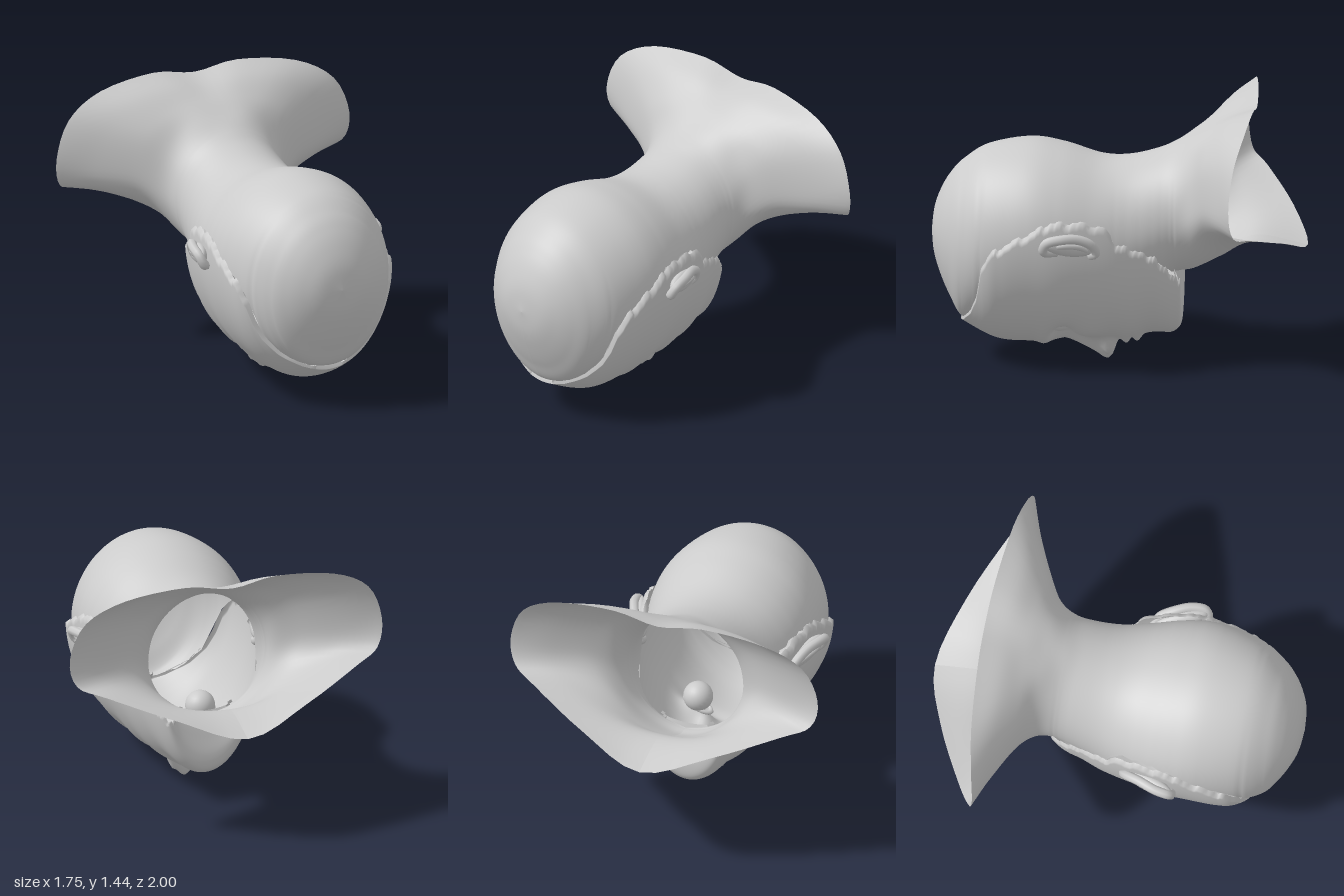
import * as THREE from 'three';

const grey = new THREE.MeshStandardMaterial({ color: 0xcccccc, side: THREE.DoubleSide });

// Piecewise linear lookup through [key, value] pairs with falling keys
function lookup(table, key) {
  for (let i = 1; i < table.length; i++) {
    const [k0, v0] = table[i - 1], [k1, v1] = table[i];
    if (key >= k1) return v0 + (v1 - v0) * THREE.MathUtils.clamp((key - k0) / (k1 - k0), 0, 1);
  }
  return table[table.length - 1][1];
}

// Skin a grid of points, row by row
function skin(rows, name) {
  const n = rows[0].length, index = [];
  for (let i = 0; i < rows.length - 1; i++) {
    for (let j = 0; j < n - 1; j++) {
      const a = i * n + j, c = a + n;
      index.push(a, a + 1, c, a + 1, c + 1, c);
    }
  }
  const g = new THREE.BufferGeometry().setFromPoints(rows.flat());
  g.setIndex(index);
  g.computeVertexNormals();
  return mesh(g, name);
}

function mesh(g, name) {
  const m = new THREE.Mesh(g, grey);
  m.name = name;
  return m;
}

// Height of the ragged seam between skull shell and face, by z
const seam = [[0.84, 0.23], [0.78, 0.31], [0.735, 0.42], [0.715, 0.6], [0.66, 0.69], [0.5, 0.78],
  [0.35, 0.86], [0.2, 0.86], [0.06, 0.83], [0, 0.73], [-0.1, 0.69], [-0.2, 0.64], [-0.3, 0.52], [-0.34, 0.47]];

// Skull, neck and shoulder shell
function skullAndShoulders() {
  // z, half width, top, bottom of each oval section
  const ovals = [[1, 0, 0.7, 0.7], [0.985, 0.12, 0.825, 0.575], [0.95, 0.205, 0.925, 0.46], [0.9, 0.28, 1.01, 0.345],
    [0.83, 0.35, 1.085, 0.23], [0.7, 0.42, 1.165, 0.22], [0.48, 0.46, 1.205, 0.27], [0.3, 0.45, 1.18, 0.29],
    [0.1, 0.405, 1.122, 0.3], [-0.05, 0.36, 1.122, 0.34], [-0.2, 0.332, 1.16, 0.43], [-0.3, 0.328, 1.205, 0.5]];
  // half sections from back to chest, opening to the shoulder rim
  const flare = [
    [[0, 1.26, -0.4], [0.14, 1.25, -0.4], [0.25, 1.19, -0.4], [0.335, 1.07, -0.39], [0.365, 0.9, -0.385],
      [0.34, 0.78, -0.39], [0.265, 0.66, -0.4], [0.14, 0.56, -0.4], [0, 0.52, -0.4]],
    [[0, 1.32, -0.5], [0.17, 1.32, -0.5], [0.32, 1.27, -0.48], [0.43, 1.17, -0.465], [0.48, 1.01, -0.465],
      [0.46, 0.89, -0.47], [0.36, 0.77, -0.5], [0.19, 0.65, -0.55], [0, 0.6, -0.55]],
    [[0, 1.37, -0.61], [0.2, 1.39, -0.6], [0.44, 1.35, -0.58], [0.6, 1.23, -0.56], [0.68, 1.05, -0.56],
      [0.65, 0.92, -0.565], [0.52, 0.835, -0.61], [0.26, 0.735, -0.7], [0, 0.7, -0.72]],
    [[0, 1.41, -0.73], [0.25, 1.445, -0.72], [0.58, 1.4, -0.69], [0.79, 1.28, -0.65], [0.872, 1.08, -0.63],
      [0.84, 0.925, -0.655], [0.7, 0.875, -0.74], [0.36, 0.76, -0.9], [0, 0.65, -1]],
  ];
  const sections = ovals.map(([z, w, top, bot]) => Array.from({ length: 9 }, (_, k) => {
    const a = k * Math.PI / 8;
    return new THREE.Vector3(w * Math.sin(a), (top + bot) / 2 + (top - bot) / 2 * Math.cos(a), z);
  })).concat(flare.map(s => s.map(p => new THREE.Vector3(...p))));
  const guides = sections[0].map((_, k) => new THREE.CatmullRomCurve3(sections.map(s => s[k]), false, 'catmullrom'));

  const rows = [], steps = 104, half = 32;
  for (let i = 0; i <= steps; i++) {
    const side = guides.map(c => c.getPoint(i / steps));
    const mirrored = side.slice(1, 8).reverse().map(p => new THREE.Vector3(-p.x, p.y, p.z));
    const ring = new THREE.CatmullRomCurve3([...side, ...mirrored], true, 'catmullrom');
    const z = side[0].z;
    let end = 0.5;
    if (z < 0.83 && z > -0.31) {
      const limit = lookup(seam, z) + (i * 7 % 3 - 1) * 0.008;
      end = 0;
      while (end < 0.5 && ring.getPoint(end).y > limit) end += 0.002;
      end = Math.min(end, 0.5);
    }
    const row = [];
    for (let j = -half; j <= half; j++) {
      const p = ring.getPoint(Math.abs(j) / half * end);
      if (j < 0) p.x *= -1;
      row.push(p);
    }
    rows.push(row);
  }
  return skin(rows, 'skullNeckAndShoulders');
}

// Downward relief of nose, lips and eye sockets
const noseHeight = [[0.29, 0], [0.2, 0.055], [0.12, 0.1], [0.085, 0.125], [0.06, 0.13], [0.035, 0.1], [0.01, 0.02], [-0.01, 0]];
function relief(x, z) {
  const ax = Math.abs(x);
  const bump = (cx, cz, sx, sz) => Math.exp(-(((ax - cx) / sx) ** 2) - ((z - cz) / sz) ** 2);
  const bridge = 0.04 + 0.03 * THREE.MathUtils.smoothstep(0.28 - z, 0, 0.2);
  return lookup(noseHeight, z) * Math.exp(-((x / bridge) ** 2))
    + 0.045 * bump(0.075, 0.055, 0.026, 0.033)
    - 0.075 * bump(0.17, 0.3, 0.09, 0.06)
    - 0.03 * bump(0.1, 0.25, 0.04, 0.06)
    + 0.02 * bump(0.15, 0.39, 0.12, 0.04)
    + 0.02 * bump(0.23, 0.14, 0.09, 0.08)
    + 0.035 * bump(0, -0.035, 0.085, 0.024)
    + 0.035 * bump(0, -0.095, 0.075, 0.026)
    - 0.015 * bump(0, -0.065, 0.1, 0.01);
}

// Face mask from forehead to under the chin, with a folded-in lip at the seam
function face() {
  // z, half width, middle height, lowest height
  const sections = [[0.84, 0.35, 0.68, 0.215], [0.7, 0.45, 0.72, 0.14], [0.6, 0.475, 0.75, 0.11], [0.45, 0.48, 0.78, 0.105],
    [0.33, 0.475, 0.78, 0.105], [0.2, 0.455, 0.78, 0.13], [0.05, 0.42, 0.77, 0.13], [-0.05, 0.385, 0.75, 0.125],
    [-0.15, 0.345, 0.74, 0.155], [-0.22, 0.32, 0.72, 0.16], [-0.28, 0.285, 0.7, 0.16], [-0.325, 0.25, 0.68, 0.2],
    [-0.333, 0.23, 0.66, 0.28], [-0.318, 0.22, 0.64, 0.38], [-0.302, 0.21, 0.62, 0.46], [-0.285, 0.2, 0.6, 0.52]];
  const zw = new THREE.SplineCurve(sections.map(s => new THREE.Vector2(s[0], s[1])));
  const heights = new THREE.SplineCurve(sections.map(s => new THREE.Vector2(s[2], s[3])));
  const rows = [], steps = 150, half = 40;
  for (let i = 0; i <= steps; i++) {
    const { x: z, y: w } = zw.getPoint(i / steps), { x: mid, y: low } = heights.getPoint(i / steps);
    const limit = Math.max(lookup(seam, z) + (Math.floor(i / 3) % 3 - 1) * 0.01, low + 0.012);
    const end = Math.acos(THREE.MathUtils.clamp((mid - limit) / (mid - low), -1, 1));
    const row = [];
    for (let j = -half; j <= half; j++) {
      const a = -j / half * end, x = w * Math.sin(a);
      const y = mid - (mid - low) * Math.cos(a);
      const front = THREE.MathUtils.smoothstep(Math.cos(a), 0.3, 0.7);
      row.push(new THREE.Vector3(x, y - relief(x, z) * front, z));
    }
    const lip = p => new THREE.Vector3(p.x * 0.95, p.y + 0.015, p.z);
    rows.push([lip(row[0]), ...row, lip(row[row.length - 1])]);
  }
  rows.unshift(rows[0].map(p => new THREE.Vector3(p.x, p.y + 0.035, p.z - 0.02)));
  return skin(rows, 'face');
}

function tube(points, radius, name) {
  const curve = new THREE.CatmullRomCurve3(points.map(p => new THREE.Vector3(...p)));
  return mesh(new THREE.TubeGeometry(curve, 36, radius, 8), name);
}

// Left ear: outer rim, inner fold and bowl
function ear() {
  const g = new THREE.Group();
  const bowl = mesh(new THREE.SphereGeometry(1, 24, 16), 'earBowl');
  bowl.scale.set(0.04, 0.055, 0.15);
  bowl.position.set(0.465, 0.755, 0.24);
  bowl.rotation.set(-0.2, 0.35, 0);
  g.add(bowl,
    tube([[0.46, 0.72, 0.31], [0.505, 0.735, 0.375], [0.53, 0.785, 0.36], [0.525, 0.805, 0.29], [0.49, 0.8, 0.2],
      [0.455, 0.76, 0.125], [0.425, 0.705, 0.105], [0.42, 0.69, 0.14]], 0.026, 'earRim'),
    tube([[0.49, 0.75, 0.34], [0.515, 0.77, 0.28], [0.49, 0.76, 0.2], [0.45, 0.73, 0.15]], 0.016, 'earFold'));
  return g;
}

// Left eye: ball under a slanted lid ring
function eye() {
  const g = new THREE.Group();
  const ball = mesh(new THREE.SphereGeometry(0.08, 24, 16), 'eyeball');
  ball.position.set(0.17, 0.28, 0.31);
  const lid = mesh(new THREE.TorusGeometry(0.06, 0.012, 8, 28), 'eyelids');
  lid.scale.set(1.3, 0.7, 1);
  lid.rotation.set(Math.PI / 2, 0.35, 0.12);
  lid.position.set(0.17, 0.228, 0.31);
  g.add(ball, lid);
  return g;
}

export function createModel() {
  const model = new THREE.Group();
  model.name = 'bust';
  model.add(skullAndShoulders(), face());
  for (const [side, s] of [['left', 1], ['right', -1]]) {
    for (const [part, make] of [['Ear', ear], ['Eye', eye]]) {
      const g = make();
      g.name = side + part;
      g.scale.x = s;
      model.add(g);
    }
  }
  return model;
}
